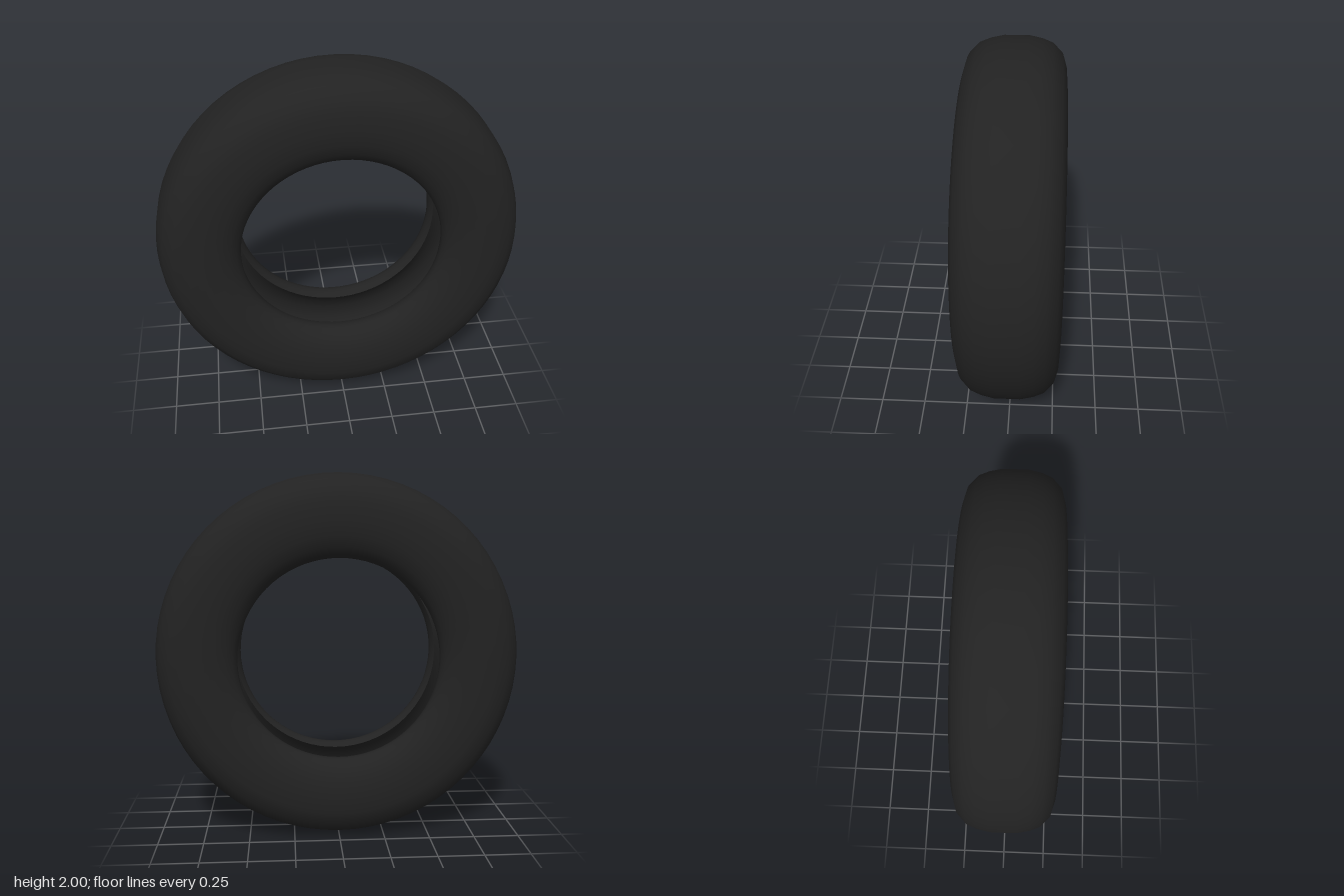
import * as THREE from 'three';

const SEGMENTS = 72;

// Mirrors a half profile of [radius, offset] pairs (listed from the centre plane out) into a full one
function mirrored(half) {
  const lower = half.slice().reverse().map(([r, z]) => new THREE.Vector2(r, -z));
  const upper = half.map(([r, z]) => new THREE.Vector2(r, z));
  return [...lower, ...upper];
}

export function createModel() {
  const rubber = new THREE.MeshStandardMaterial({ color: 0x222222 });
  rubber.name = 'black rubber';

  const ring = (name, profile) => {
    const mesh = new THREE.Mesh(new THREE.LatheGeometry(profile, SEGMENTS), rubber);
    mesh.name = name;
    mesh.rotation.x = Math.PI / 2; // axle runs along z
    mesh.position.y = 1;
    return mesh;
  };

  // Tread, rounded shoulders, sidewalls and the rounded beads at the hole
  const outside = mirrored([
    [1, 0.07], [0.985, 0.14], [0.963, 0.195], [0.91, 0.247], [0.84, 0.268],
    [0.75, 0.275], [0.67, 0.268], [0.61, 0.248], [0.573, 0.22],
    [0.554, 0.195], [0.55, 0.17], [0.555, 0.14], [0.572, 0.115],
  ]);

  // Hollow inner lining, run the other way so that it faces the axle
  const inside = mirrored([
    [0.93, 0.06], [0.91, 0.13], [0.87, 0.185], [0.8, 0.215],
    [0.72, 0.215], [0.65, 0.185], [0.6, 0.145], [0.572, 0.115],
  ]).reverse();

  const tyre = new THREE.Group();
  tyre.name = 'tyre';
  tyre.add(ring('treadAndSidewalls', outside), ring('innerLining', inside));
  return tyre;
}
